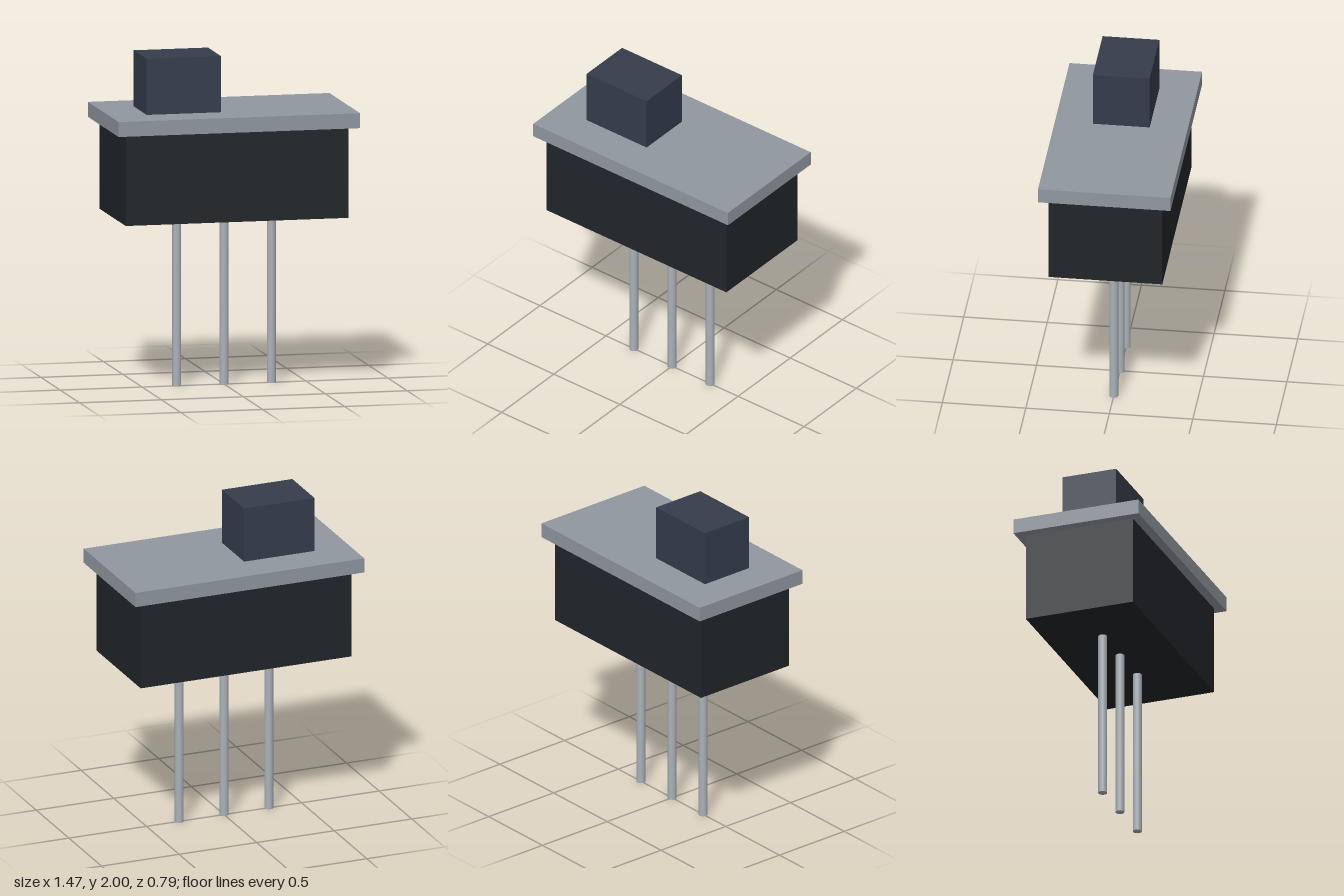
import * as THREE from 'three';

export function createModel() {
  const model = new THREE.Group();
  const mat = (color) => new THREE.MeshStandardMaterial({ color });

  const add = (name, geometry, material, x, y, z = 0) => {
    const mesh = new THREE.Mesh(geometry, material);
    mesh.name = name;
    mesh.position.set(x, y, z);
    model.add(mesh);
  };

  // Box standing on yBottom and reaching yTop
  const addBox = (name, width, yBottom, yTop, depth, color, x = 0) =>
    add(name, new THREE.BoxGeometry(width, yTop - yBottom, depth), mat(color), x, (yBottom + yTop) / 2);

  // Switch housing, cover plate and sliding knob
  addBox('housing', 1.36, 1.027, 1.573, 0.68, 0x212529);
  addBox('coverPlate', 1.474, 1.573, 1.663, 0.794, 0x8f979f);
  addBox('sliderKnob', 0.454, 1.663, 2, 0.34, 0x343c4b, -0.285);

  // Three round contact pins in a row
  const pinHeight = 1.027;
  const pinGeometry = new THREE.CylinderGeometry(0.027, 0.027, pinHeight, 16);
  const pinMaterial = mat(0xa9b1b8);
  ['rightPin', 'middlePin', 'leftPin'].forEach((name, i) =>
    add(name, pinGeometry, pinMaterial, (i - 1) * 0.289, pinHeight / 2));

  return model;
}
